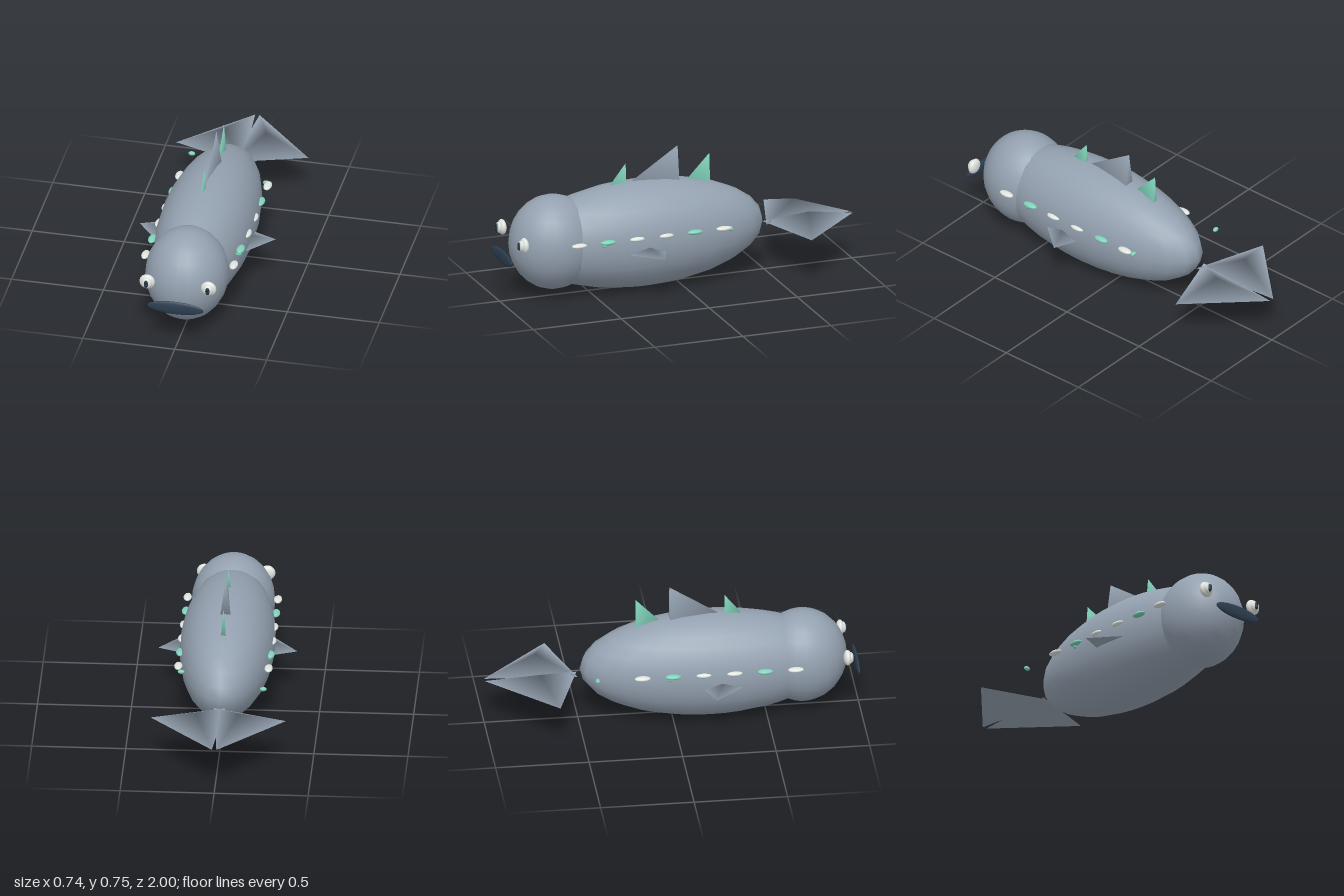
import * as THREE from 'three';

const mat = (name, color) => {
  const m = new THREE.MeshStandardMaterial({ color });
  m.name = name;
  return m;
};

export function createModel() {
  const slate = mat('slate skin', 0x94a1b0);
  const mint = mat('mint', 0x7fd1b9);
  const ivory = mat('ivory', 0xdfe4df);
  const navy = mat('navy', 0x2c3e50);
  const black = mat('pupil black', 0x1c2836);

  const fish = new THREE.Group();
  fish.name = 'fish';

  const add = (name, geometry, material) => {
    const mesh = new THREE.Mesh(geometry, material);
    mesh.name = name;
    fish.add(mesh);
    return mesh;
  };

  // Ellipsoid given by centre and radii
  const ellipsoid = (name, material, pos, radii, w = 16, h = 12) => {
    const mesh = add(name, new THREE.SphereGeometry(1, w, h), material);
    mesh.position.set(...pos);
    mesh.scale.set(...radii);
  };

  // Smooth-shaded four-cornered fin: base triangle a, b, c and a peak
  const fin = (name, material, a, b, c, peak) => {
    const [A, B, C, P] = [a, b, c, peak].map((p) => new THREE.Vector3(...p));
    const volume = B.clone().sub(A).cross(C.clone().sub(A)).dot(P.clone().sub(A));
    const g = new THREE.BufferGeometry();
    const corners = volume > 0 ? [a, b, c, peak] : [a, c, b, peak];
    g.setAttribute('position', new THREE.Float32BufferAttribute(corners.flat(), 3));
    g.setIndex([0, 2, 1, 0, 1, 3, 1, 2, 3, 2, 0, 3]);
    g.computeVertexNormals();
    add(name, g, material);
  };

  // Body, head and lips
  ellipsoid('body', slate, [0, 0.295, 0.2], [0.253, 0.292, 0.69], 24, 14);
  ellipsoid('head', slate, [0, 0.303, 0.7], [0.222, 0.257, 0.238], 24, 14);
  ellipsoid('mouth', navy, [0, 0.253, 0.988], [0.153, 0.038, 0.012], 24, 12);

  // Fins along the back: upright rear edge, pointed front
  const backFin = (name, material, half, baseY, rearZ, frontZ, topY) =>
    fin(name, material, [-half, baseY, rearZ], [half, baseY, rearZ],
      [0, baseY, frontZ], [0, topY, rearZ]);
  backFin('dorsalFin', slate, 0.03, 0.55, -0.01, 0.305, 0.755);
  backFin('frontSpine', mint, 0.014, 0.55, 0.285, 0.395, 0.69);
  backFin('rearSpine', mint, 0.014, 0.52, -0.19, -0.025, 0.69);

  // Coloured sequence of side spots from head to tail
  const spots = [ivory, mint, ivory, ivory, mint, ivory];

  for (const [side, s] of [['left', 1], ['right', -1]]) {
    // Eyes
    const x = s * 0.167;
    ellipsoid(side + 'Eye', ivory, [x, 0.357, 0.923], [0.042, 0.042, 0.022], 20, 14);
    ellipsoid(side + 'EyeRing', ivory, [x, 0.357, 0.941], [0.028, 0.03, 0.014], 20, 14);
    ellipsoid(side + 'Pupil', navy, [x, 0.357, 0.952], [0.012, 0.022, 0.009]);
    for (const dy of [-0.01, 0.01])
      ellipsoid(side + 'PupilDot', black, [x, 0.357 + dy, 0.957], [0.008, 0.009, 0.006]);

    // Side spots
    spots.forEach((m, i) =>
      ellipsoid(side + 'SideSpot', m, [s * 0.24, 0.343, 0.638 - i * 0.164], [0.022, 0.013, 0.043]));

    // Pectoral fin
    fin(side + 'PectoralFin', slate, [s * 0.37, 0.257, 0.2], [s * 0.12, 0.257, 0.1],
      [s * 0.15, 0.257, 0.464], [s * 0.213, 0.302, 0.255]);

    // Tail fin half
    fin(side + 'TailFin', slate, [s * 0.012, 0.26, -1], [s * 0.36, 0.26, -0.635],
      [s * -0.03, 0.26, -0.503], [s * 0.115, 0.335, -0.713]);
  }

  // Small scattered specks
  for (const [x, y, z] of [[0.232, 0.326, 0.493], [0.222, 0.332, -0.228],
    [-0.23, 0.328, -0.03], [-0.226, 0.338, -0.42]])
    ellipsoid('speck', mint, [x, y, z], [0.019, 0.012, 0.012], 12, 8);

  return fish;
}
